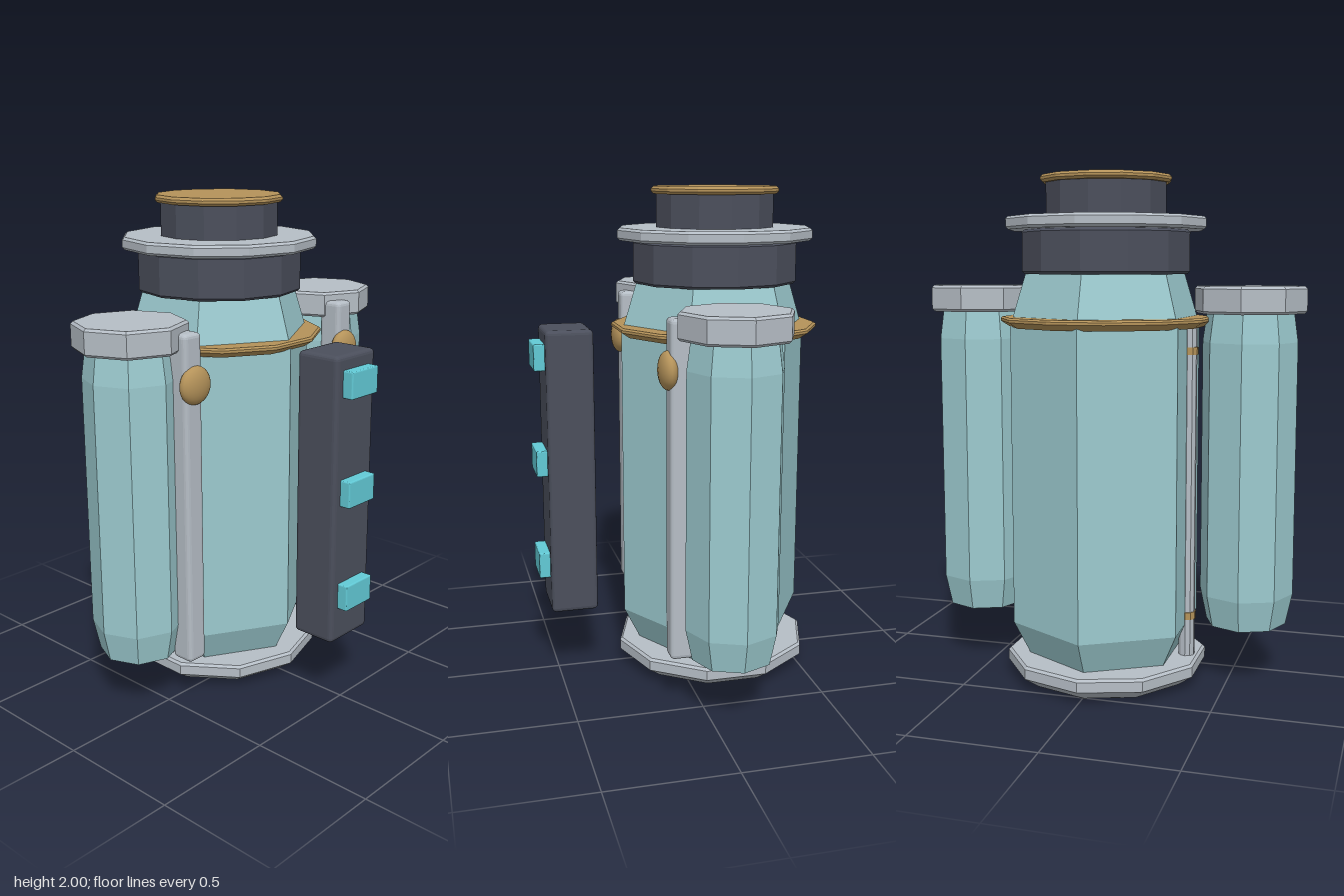
import * as THREE from 'three';
import { RoundedBoxGeometry } from 'three/addons/geometries/RoundedBoxGeometry.js';

const paint = (color, flatShading = true) => new THREE.MeshStandardMaterial({ color, flatShading });
const teal = paint(0x9ccacf);
const dark = paint(0x4b4f5c);
const silver = paint(0xb6bec6);
const gold = paint(0xb5935a);
const goldSmooth = paint(0xb5935a, false);
const cyan = paint(0x62cad6);

export function createModel() {
  const model = new THREE.Group();
  const AXIS = -0.173; // z of the main tank's axis

  function add(name, geometry, material, x = 0, y = 0, z = 0, parent = model) {
    const mesh = new THREE.Mesh(geometry, material);
    mesh.name = name;
    mesh.position.set(x, y, z);
    parent.add(mesh);
    return mesh;
  }

  // Closed faceted solid from [radius, y] pairs, bottom to top; one corner points to +z
  function turned(profile, sides, start = 0) {
    const points = [[0, profile[0][1]], ...profile, [0, profile[profile.length - 1][1]]]
      .map(([r, y]) => new THREE.Vector2(r, y));
    return new THREE.LatheGeometry(points, sides, start);
  }

  // Plate with small bevels at top and bottom
  const plate = (r, y0, y1, sides, b = 0.01) =>
    turned([[r - b, y0], [r, y0 + b], [r, y1 - b], [r - b, y1]], sides);

  // Main tank: six-sided, tapered at both ends
  add('base', turned([[0.33, 0], [0.345, 0.008], [0.405, 0.05], [0.405, 0.09], [0.395, 0.1]], 10), silver, 0, 0, AXIS);
  add('mainTank', turned([[0.315, 0.09], [0.385, 0.23], [0.385, 1.42], [0.32, 1.63]], 6), teal, 0, 0, AXIS);
  add('shoulderRing', turned([[0.385, 1.415], [0.42, 1.438], [0.42, 1.448], [0.412, 1.455]], 12, Math.PI / 12), gold, 0, 0, AXIS);

  // Neck stack
  add('collar', plate(0.335, 1.62, 1.79, 12), dark, 0, 0, AXIS);
  add('neckFlange', plate(0.398, 1.79, 1.84, 12), silver, 0, 0, AXIS);
  add('neck', plate(0.24, 1.83, 1.98, 12, 0.005), dark, 0, 0, AXIS);
  add('topCap', plate(0.261, 1.97, 2.0, 12), gold, 0, 0, AXIS);

  // Mirrored side assemblies
  for (const s of [1, -1]) {
    const side = new THREE.Group();
    side.name = s > 0 ? 'leftSide' : 'rightSide';
    model.add(side);

    // Side tank with its cap
    add('sideTank', turned([[0.145, 0.23], [0.16, 0.235], [0.187, 0.36], [0.187, 1.36], [0.17, 1.48]], 8), teal, s * 0.56, 0, -0.098, side);
    add('sideTankCap', plate(0.22, 1.47, 1.575, 8), silver, s * 0.56, 0, -0.098, side);

    // Square bar and round knob on the front of the side tank
    add('frontBar', new RoundedBoxGeometry(0.09, 1.33, 0.1, 2, 0.018), silver, s * 0.455, 0.875, 0.08, side);
    const knob = add('knob', new THREE.SphereGeometry(0.074, 20, 14), goldSmooth, s * 0.45, 1.345, 0.13, side);
    knob.scale.z = 0.5;

    // Thin pipe between the tanks, held by clips
    add('pipe', new THREE.CylinderGeometry(0.032, 0.032, 1.35, 10), silver, s * 0.335, 0.755, AXIS, side);
    for (const y of [0.265, 1.325])
      add('pipeClip', new THREE.CylinderGeometry(0.036, 0.036, 0.03, 10), gold, s * 0.335, y, AXIS, side);
  }

  // Free-standing front panel with three lights
  add('frontPanel', new RoundedBoxGeometry(0.235, 1.165, 0.19, 2, 0.018), dark, 0, 0.873, 0.44);
  for (const y of [0.487, 0.917, 1.347])
    add('panelLight', new RoundedBoxGeometry(0.16, 0.107, 0.06, 2, 0.006), cyan, 0, y, 0.549);

  return model;
}
